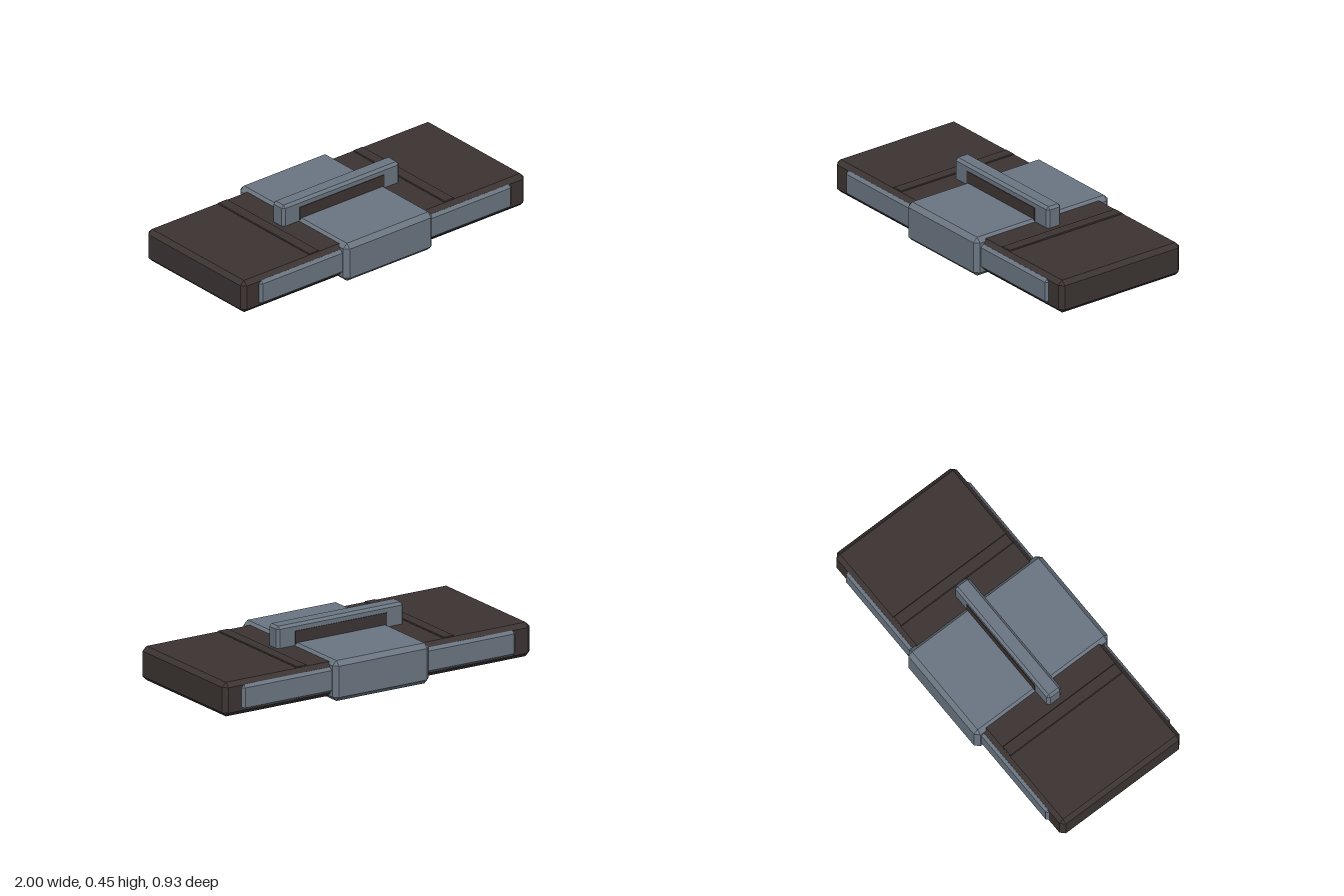
import * as THREE from 'three';
import { ConvexGeometry } from 'three/addons/geometries/ConvexGeometry.js';

// Box with a flat chamfer of width c on every edge
function chamferBox(w, h, d, c) {
  const points = [];
  for (const sx of [-1, 1]) for (const sy of [-1, 1]) for (const sz of [-1, 1]) {
    const x = sx * w / 2, y = sy * h / 2, z = sz * d / 2;
    const cx = x - sx * c, cy = y - sy * c, cz = z - sz * c;
    points.push(
      new THREE.Vector3(x, cy, cz),
      new THREE.Vector3(cx, y, cz),
      new THREE.Vector3(cx, cy, z)
    );
  }
  return new ConvexGeometry(points);
}

export function createModel() {
  const model = new THREE.Group();
  model.name = 'claspedSlab';

  const steel = new THREE.MeshStandardMaterial({ color: 0x6b7682 });
  steel.name = 'blueGreySteel';
  const dark = new THREE.MeshStandardMaterial({ color: 0x3c3433 });
  dark.name = 'darkBrown';

  const add = (name, geometry, material, x, y, z) => {
    const mesh = new THREE.Mesh(geometry, material);
    mesh.name = name;
    mesh.position.set(x, y, z);
    model.add(mesh);
  };

  // Main slab
  add('slab', chamferBox(2, 0.194, 0.83, 0.025), dark, 0, 0.228, 0);

  // Bar showing along the front and back edges
  add('edgeBar', chamferBox(1.78, 0.145, 0.86, 0.016), steel, 0, 0.229, 0);

  // Wide band wrapped around the middle
  add('centreBand', chamferBox(0.625, 0.23, 0.925, 0.026), steel, 0, 0.225, 0);

  // Upright cross plate with a dark panel on both faces
  add('crossPlate', chamferBox(0.825, 0.448, 0.096, 0.015), steel, 0, 0.224, 0);
  add('crossPlatePanel', new THREE.BoxGeometry(0.595, 0.085, 0.104), dark, 0, 0.365, 0);

  // Thin raised ridges on the top of the slab
  for (const side of [-1, 1]) {
    add(side > 0 ? 'leftRidge' : 'rightRidge',
      chamferBox(0.07, 0.016, 0.78, 0.004), dark, side * 0.478, 0.323, 0);
  }

  return model;
}
